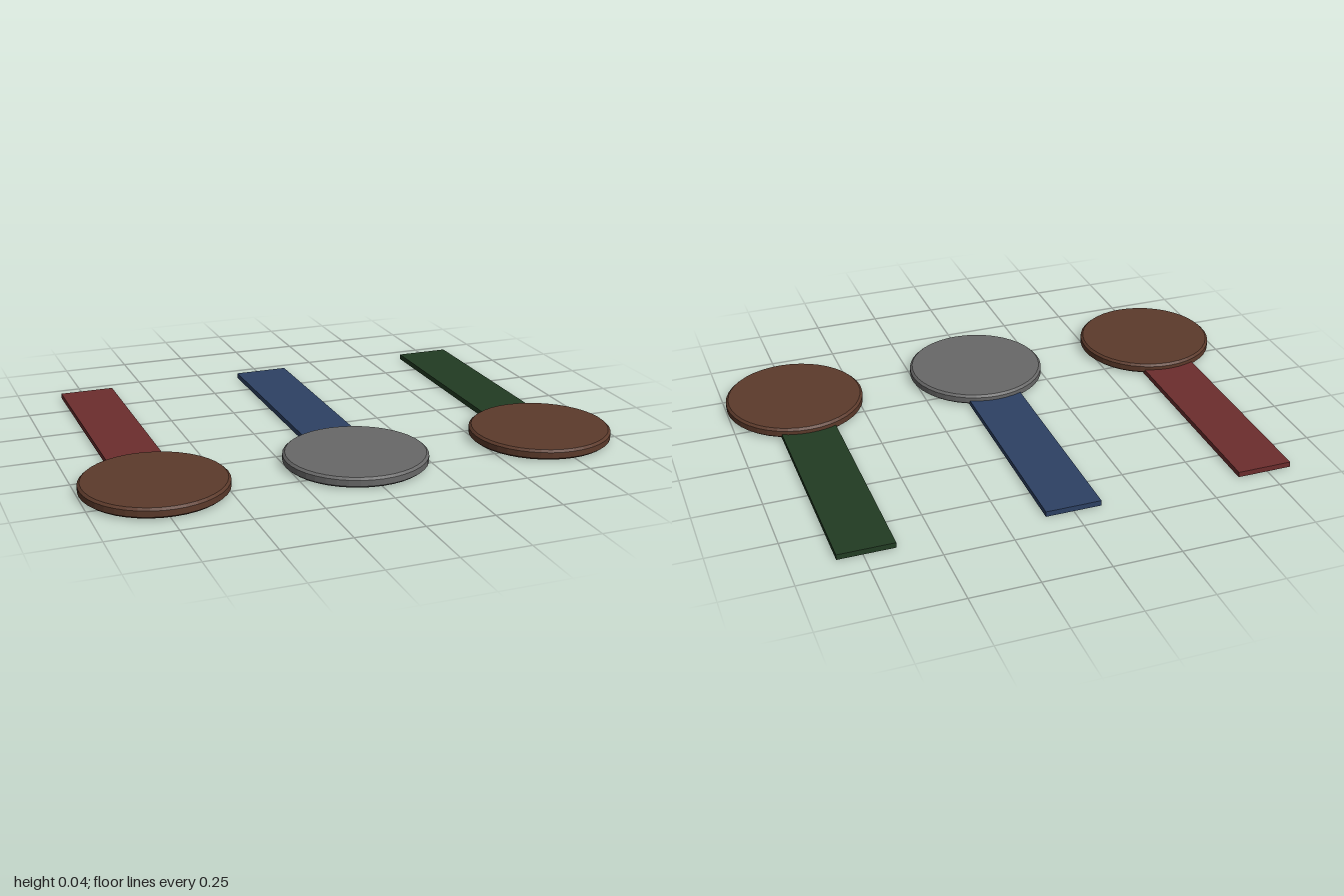
import * as THREE from 'three';

const mat = (name, color) => {
  const m = new THREE.MeshStandardMaterial({ color });
  m.name = name;
  return m;
};

export function createModel() {
  const group = new THREE.Group();
  group.name = 'medals';
  const bronze = mat('bronze brown', 0x5c3a2b);
  const silver = mat('silver grey', 0x686868);
  bronze.flatShading = silver.flatShading = true;

  // Disc with a bevelled rim
  const profile = [
    [0, 0.004], [0.252, 0.004], [0.262, 0.012], [0.262, 0.034], [0.253, 0.042], [0, 0.042],
  ].map(([r, y]) => new THREE.Vector2(r, y));
  const discGeometry = new THREE.LatheGeometry(profile, 40);

  // Flat ribbon running back from under the disc
  const ribbonGeometry = new THREE.BoxGeometry(0.206, 0.02, 0.83);

  const medals = [
    ['right', -0.738, bronze, mat('ribbon red', 0x6c2d2d)],
    ['middle', 0, silver, mat('ribbon blue', 0x2d4164)],
    ['left', 0.738, bronze, mat('ribbon green', 0x223c23)],
  ];
  for (const [side, x, metal, cloth] of medals) {
    const medal = new THREE.Group();
    medal.name = `${side} medal`;
    medal.position.x = x;

    const disc = new THREE.Mesh(discGeometry, metal);
    disc.name = 'disc';
    disc.position.z = 0.395;

    const ribbon = new THREE.Mesh(ribbonGeometry, cloth);
    ribbon.name = 'ribbon';
    ribbon.position.set(0, 0.01, -0.242);

    medal.add(disc, ribbon);
    group.add(medal);
  }
  return group;
}
